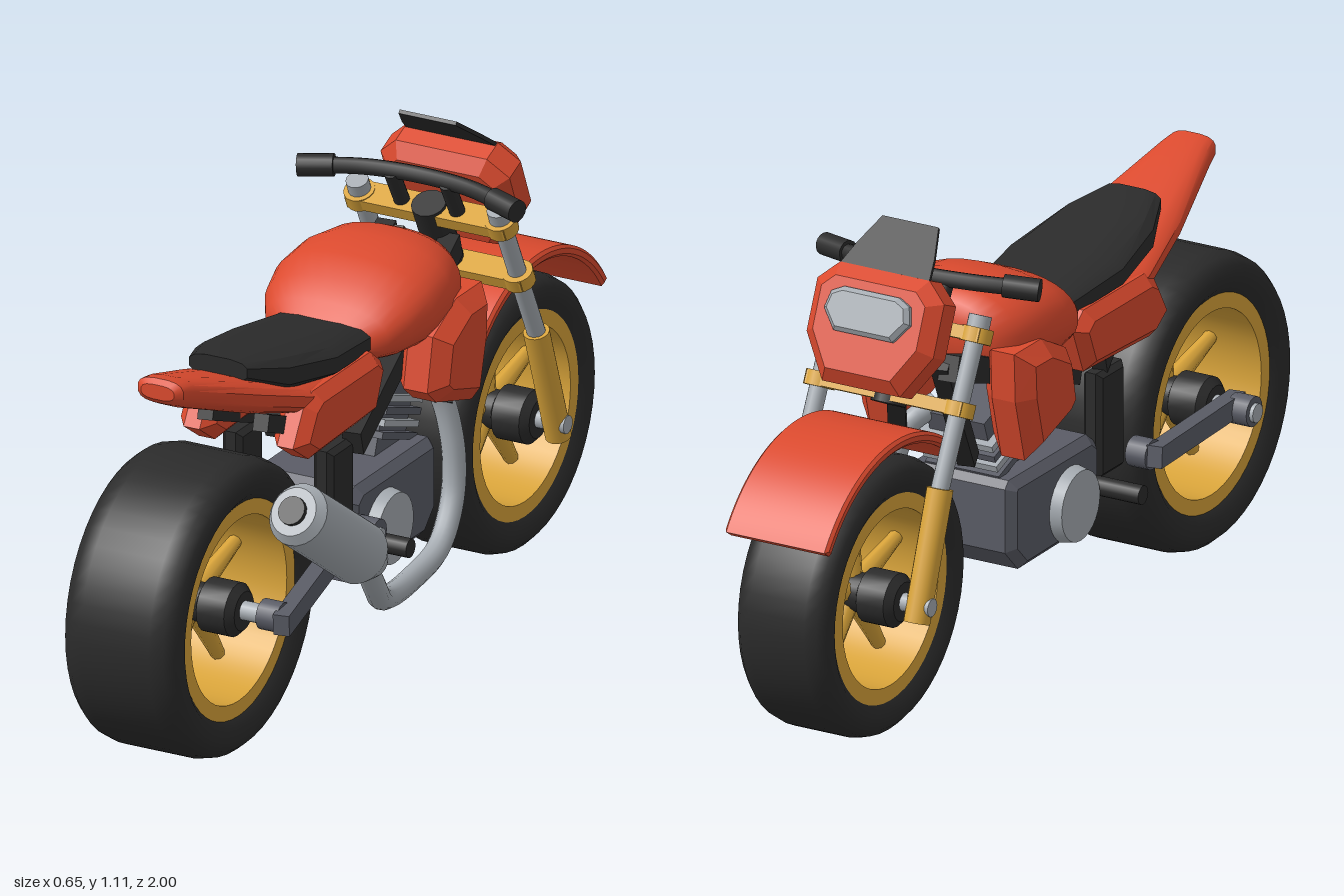
import * as THREE from 'three';
import { toCreasedNormals } from 'three/addons/utils/BufferGeometryUtils.js';

const V = (x, y, z) => new THREE.Vector3(x, y, z);

export function createModel() {
  const bike = new THREE.Group();
  bike.name = 'motorcycle';
  bike.position.x = -0.0425;
  const mat = (name, color, side = THREE.FrontSide) => {
    const m = new THREE.MeshStandardMaterial({ color, side });
    m.name = name;
    return m;
  };
  const red = mat('red paint', 0xdb4a2e);
  const black = mat('black', 0x2b2b2b);
  const gold = mat('gold', 0xd9a43a, THREE.DoubleSide);
  const grey = mat('engine grey', 0x5a5c66);
  const silver = mat('silver', 0xa6acb2);

  const add = (name, geo, m, pos, parent = bike) => {
    const mesh = new THREE.Mesh(geo, m);
    mesh.name = name;
    if (pos) mesh.position.copy(pos);
    parent.add(mesh);
    return mesh;
  };
  // round bar between two points
  const rod = (name, a, b, r, m, r2 = r, n = 16) => {
    const mesh = add(name, new THREE.CylinderGeometry(r2, r, a.distanceTo(b), n), m);
    mesh.position.lerpVectors(a, b, 0.5);
    mesh.quaternion.setFromUnitVectors(V(0, 1, 0), b.clone().sub(a).normalize());
    return mesh;
  };
  // rectangular bar between two points
  const beam = (name, a, b, w, h, m) => {
    const mesh = add(name, new THREE.BoxGeometry(w, h, a.distanceTo(b)), m);
    mesh.position.lerpVectors(a, b, 0.5);
    mesh.lookAt(b);
    return mesh;
  };
  const bevelled = (pts, depth, bevel) => new THREE.ExtrudeGeometry(
    new THREE.Shape(pts.map(([x, y]) => new THREE.Vector2(x, y))), {
      depth: depth - 2 * bevel, bevelEnabled: bevel > 0, bevelThickness: bevel,
      bevelSize: bevel, bevelOffset: -bevel, bevelSegments: 1,
    }).translate(0, 0, bevel - depth / 2);
  // side outline of [z, y] points, given thickness along x
  const panel = (name, pts, depth, bevel, m, x = 0) =>
    add(name, bevelled(pts, depth, bevel).rotateY(-Math.PI / 2), m, V(x, 0, 0));
  // skin over sections [z, halfWidth, top, bottom], listed with z rising
  const loft = (name, secs, n, power, crease, m) => {
    const pos = [], idx = [], k = secs.length;
    const sp = v => Math.sign(v) * Math.abs(v) ** power;
    for (const [z, w, t, b] of secs) for (let j = 0; j < n; j++) {
      const a = (j + 0.5) / n * Math.PI * 2;
      pos.push(w * sp(Math.cos(a)), (t + b) / 2 + (t - b) / 2 * sp(Math.sin(a)), z);
    }
    for (const s of [secs[0], secs[k - 1]]) pos.push(0, (s[2] + s[3]) / 2, s[0]);
    for (let j = 0; j < n; j++) {
      const j2 = (j + 1) % n;
      for (let i = 0; i < k - 1; i++) {
        const a = i * n + j, b = i * n + j2;
        idx.push(a, b, a + n, b, b + n, a + n);
      }
      idx.push(k * n, j2, j, k * n + 1, (k - 1) * n + j, (k - 1) * n + j2);
    }
    const g = new THREE.BufferGeometry();
    g.setAttribute('position', new THREE.Float32BufferAttribute(pos, 3));
    g.setIndex(idx);
    return add(name, toCreasedNormals(g, crease), m);
  };
  const lathe = (pts, n = 48) => toCreasedNormals(new THREE.LatheGeometry(
    pts.map(([r, y]) => new THREE.Vector2(r, y)), n), 0.7).rotateZ(Math.PI / 2);

  // wheels: tyre, open rim, five spokes and hub
  const wheel = (name, y, z, R, ri, w) => {
    const g = new THREE.Group();
    g.name = name;
    g.position.set(0, y, z);
    bike.add(g);
    const h = w / 2, half = [[ri, h * 0.86], [ri + 0.02, h * 0.97], [R - 0.045, h], [R - 0.025, h * 0.97],
      [R - 0.008, h * 0.83], [R, h * 0.6]];
    add('tyre', lathe([...half.map(([r, x]) => [r, -x]), ...half.reverse()]), black, null, g);
    const q = h * 0.87;
    add('rim', lathe([[ri + 0.004, -q], [ri - 0.034, -q], [ri - 0.034, q], [ri + 0.004, q]]), gold, null, g);
    for (let i = 0; i < 5; i++) {
      const a = i / 5 * Math.PI * 2, L = ri - 0.06;
      const s = add('spoke', new THREE.CylinderGeometry(0.016, 0.027, L, 8), gold,
        V(0, Math.cos(a) * (0.03 + L / 2), Math.sin(a) * (0.03 + L / 2)), g);
      s.rotation.x = a;
    }
    add('hub', lathe([[0, -0.137], [0.045, -0.137], [0.062, -0.12], [0.062, -0.05], [0.045, -0.04],
      [0.045, 0.04], [0.062, 0.05], [0.062, 0.12], [0.045, 0.137], [0, 0.137]], 20), black, null, g);
  };
  wheel('rearWheel', 0.343, 0.658, 0.341, 0.25, 0.285);
  wheel('frontWheel', 0.322, -0.674, 0.318, 0.238, 0.235);
  rod('rearAxle', V(-0.245, 0.345, 0.658), V(0.245, 0.345, 0.658), 0.022, silver);
  rod('frontAxle', V(-0.21, 0.322, -0.674), V(0.21, 0.322, -0.674), 0.021, silver);

  // parts that come in pairs
  for (const s of [-1, 1]) {
    const f = s * 0.178;
    rod('forkLower', V(f, 0.285, -0.688), V(f, 0.57, -0.588), 0.03, gold);
    rod('forkUpper', V(f, 0.55, -0.597), V(f, 0.91, -0.42), 0.021, silver);
    rod('forkCap', V(f, 0.895, -0.427), V(f, 0.922, -0.415), 0.026, silver);
    for (const [y, z] of [[0.88, -0.432], [0.73, -0.508]]) {
      const c = add('clampRing', new THREE.CylinderGeometry(0.036, 0.036, 0.034, 16), gold, V(f, y, z));
      c.rotation.x = 0.45;
    }
    beam('swingArm', V(s * 0.21, 0.395, 0.2), V(s * 0.21, 0.345, 0.7), 0.038, 0.05, grey);
    for (const [y, z] of [[0.39, 0.225], [0.347, 0.658]])
      rod('swingArmEnd', V(s * 0.185, y, z), V(s * 0.236, y, z), 0.035, grey);
    rod('swingArmBolt', V(s * 0.23, 0.39, 0.225), V(s * 0.243, 0.39, 0.225), 0.016, silver);
    add('framePlate', bevelled([[0.16, 0.33], [0.27, 0.33], [0.27, 0.58], [0.16, 0.58]], 0.05, 0.012)
      .rotateY(-Math.PI / 2), black, V(s * 0.115, 0, 0));
    rod('footPeg', V(s * 0.12, 0.33, 0.135), V(s * 0.265, 0.33, 0.135), 0.022, black);
    beam('downTube', V(s * 0.06, 0.81, -0.46), V(s * 0.09, 0.5, -0.25), 0.04, 0.04, black);
    beam('frameRail', V(s * 0.08, 0.8, -0.46), V(s * 0.1, 0.57, 0.18), 0.045, 0.06, black);
    beam('seatRail', V(s * 0.08, 0.59, 0.18), V(s * 0.07, 0.745, 0.54), 0.035, 0.04, black);
    rod('barRiser', V(s * 0.07, 0.88, -0.432), V(s * 0.07, 0.975, -0.378), 0.018, black);
    rod('grip', V(s * 0.2, 0.975, -0.352), V(s * 0.277, 0.97, -0.325), 0.026, black);
    panel('sidePanel', [[0.44, 0.65], [0.39, 0.735], [0.35, 0.757], [0.09, 0.757], [0.045, 0.72],
      [0.09, 0.612], [0.37, 0.602]], 0.09, 0.025, red, s * 0.118);
    panel('tankShroud', [[-0.06, 0.615], [-0.085, 0.74], [-0.19, 0.795], [-0.305, 0.795],
      [-0.3, 0.68], [-0.26, 0.53], [-0.1, 0.58]], 0.13, 0.035, red, s * 0.168);
    rod('engineCover', V(s * 0.13, 0.32, 0.03), V(s * 0.168, 0.32, 0.03), 0.09, silver, 0.082, 28);
  }

  // steering
  for (const [y, z] of [[0.88, -0.432], [0.73, -0.508]]) {
    const c = add('forkClamp', new THREE.BoxGeometry(0.4, 0.03, 0.062), gold, V(0, y, z));
    c.rotation.x = 0.45;
  }
  rod('steeringHead', V(0, 0.71, -0.515), V(0, 0.9, -0.42), 0.04, black);
  const bar = new THREE.CatmullRomCurve3([V(-0.25, 0.972, -0.335), V(-0.13, 0.977, -0.375),
    V(0, 0.977, -0.39), V(0.13, 0.977, -0.375), V(0.25, 0.972, -0.335)]);
  add('handlebar', new THREE.TubeGeometry(bar, 24, 0.019, 10), black);

  // bodywork
  loft('tank', [[-0.312, 0.085, 0.855, 0.76], [-0.295, 0.14, 0.888, 0.72], [-0.25, 0.178, 0.908, 0.695],
    [-0.17, 0.2, 0.913, 0.685], [-0.08, 0.202, 0.898, 0.685], [-0.01, 0.185, 0.868, 0.69],
    [0.04, 0.155, 0.83, 0.7], [0.075, 0.115, 0.8, 0.72]], 32, 0.85, 0.8, red);
  loft('seat', [[0.065, 0.128, 0.8, 0.73], [0.25, 0.147, 0.828, 0.74], [0.42, 0.122, 0.862, 0.765],
    [0.53, 0.075, 0.876, 0.825]], 12, 0.65, 0.5, black);
  loft('tail', [[0.07, 0.13, 0.755, 0.69], [0.36, 0.147, 0.775, 0.695], [0.54, 0.118, 0.84, 0.755],
    [0.75, 0.066, 0.91, 0.838], [0.79, 0.058, 0.917, 0.858], [0.804, 0.042, 0.907, 0.872]], 16, 0.7, 0.6, red);

  // headlight fairing, lamp and screen
  const fairing = new THREE.Group();
  fairing.name = 'headlightFairing';
  fairing.position.set(0, 0.893, -0.555);
  fairing.rotation.x = 0.4;
  bike.add(fairing);
  const mirror = pts => [...pts, ...pts.map(([x, y]) => [-x, y]).reverse()];
  add('fairingShell', bevelled(mirror([[0.1, -0.13], [0.163, -0.03], [0.163, 0.09], [0.115, 0.135]]), 0.115, 0.03),
    red, null, fairing);
  add('headlight', bevelled(mirror([[0.075, -0.015], [0.11, 0.03], [0.1, 0.07], [0.07, 0.085]]), 0.03, 0.01),
    silver, V(0, 0, -0.063), fairing);
  const screen = add('windscreen', bevelled(mirror([[0.115, 0], [0.1, 0.06], [0.072, 0.14]]), 0.009, 0),
    black, V(0, 1.022, -0.528));
  screen.rotation.x = 0.93;

  // front mudguard: an arc around the wheel
  const arc = new THREE.Shape();
  arc.absarc(0, 0, 0.373, 0.78, Math.PI - 0.59, false);
  arc.absarc(0, 0, 0.347, Math.PI - 0.59, 0.78, true);
  const guard = new THREE.ExtrudeGeometry(arc, { depth: 0.252, bevelThickness: 0.007, bevelSize: 0.007,
    bevelOffset: -0.007, bevelSegments: 1, curveSegments: 24 });
  add('frontMudguard', toCreasedNormals(guard.translate(0, 0, -0.126).rotateY(-Math.PI / 2), 0.5),
    red, V(0, 0.334, -0.687));

  // engine
  panel('crankcase', [[0.165, 0.23], [0.165, 0.42], [0.13, 0.447], [-0.2, 0.447], [-0.215, 0.43],
    [-0.215, 0.28], [-0.16, 0.225]], 0.28, 0.02, grey);
  const cyl = new THREE.Group();
  cyl.name = 'cylinder';
  cyl.position.set(0, 0.5, -0.13);
  cyl.rotation.x = -0.35;
  bike.add(cyl);
  add('cylinderCore', new THREE.BoxGeometry(0.15, 0.2, 0.13), grey, V(0, 0.01, 0), cyl);
  for (let i = 0; i < 4; i++)
    add('coolingFin', new THREE.BoxGeometry(0.19, 0.016, 0.165), i % 2 ? silver : grey, V(0, -0.03 + i * 0.028, 0), cyl);

  // exhaust on the left
  const pipe = new THREE.CatmullRomCurve3([V(0.07, 0.59, -0.19), V(0.11, 0.55, -0.25), V(0.14, 0.42, -0.275),
    V(0.15, 0.29, -0.26), V(0.16, 0.2, -0.18), V(0.17, 0.175, -0.03), V(0.2, 0.2, 0.14),
    V(0.255, 0.29, 0.28), V(0.295, 0.41, 0.4)]);
  add('exhaustPipe', new THREE.TubeGeometry(pipe, 64, 0.027, 12), silver);
  const a = V(0.302, 0.393, 0.375), b = V(0.276, 0.617, 0.683), at = t => a.clone().lerp(b, t);
  rod('mufflerCone', at(0), at(0.17), 0.04, silver, 0.072, 24);
  rod('mufflerBody', at(0.17), at(0.94), 0.072, silver, 0.072, 24);
  rod('mufflerEnd', at(0.94), at(1), 0.072, silver, 0.056, 24);
  rod('mufflerTip', at(0.98), at(1.03), 0.033, black);

  return bike;
}
